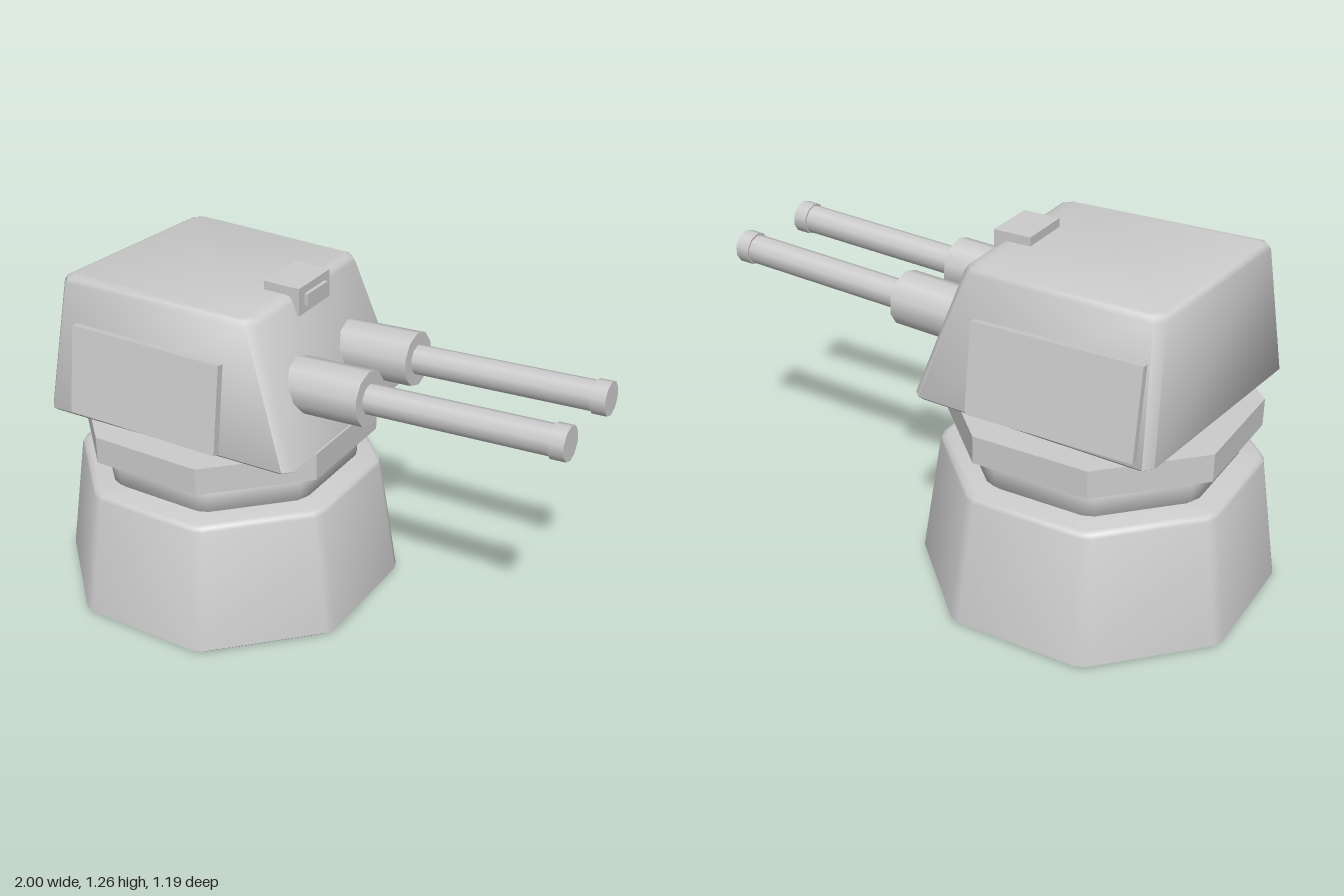
import * as THREE from 'three';
import { toCreasedNormals } from 'three/addons/utils/BufferGeometryUtils.js';

// Cuts each corner of a polygon of [x, z] points
function chamfer(points, size) {
  const out = [];
  points.forEach((p, i) => {
    const n = points.length;
    for (const q of [points[(i + n - 1) % n], points[(i + 1) % n]]) {
      const k = size / Math.hypot(q[0] - p[0], q[1] - p[1]);
      out.push([p[0] + (q[0] - p[0]) * k, p[1] + (q[1] - p[1]) * k]);
    }
  });
  return out;
}

// Octagon with flat sides on the axes, counter-clockwise seen from above
function octagon(apothem, cx) {
  const r = apothem / Math.cos(Math.PI / 8);
  return Array.from({ length: 8 }, (_, i) => {
    const a = (i + 0.5) * Math.PI / 4;
    return [cx + r * Math.cos(a), -r * Math.sin(a)];
  });
}

// Closed solid through stacked rings { y, pts }
function loft(rings, crease) {
  const pos = [], index = [], n = rings[0].pts.length;
  for (const { y, pts } of rings) for (const [x, z] of pts) pos.push(x, y, z);
  for (let r = 0; r < rings.length - 1; r++) {
    for (let i = 0; i < n; i++) {
      const a = r * n + i, b = r * n + (i + 1) % n;
      index.push(a, b, b + n, a, b + n, a + n);
    }
  }
  const top = (rings.length - 1) * n;
  for (let i = 1; i < n - 1; i++) {
    index.push(0, i + 1, i, top, top + i, top + i + 1);
  }
  const g = new THREE.BufferGeometry();
  g.setAttribute('position', new THREE.Float32BufferAttribute(pos, 3));
  g.setIndex(index);
  return toCreasedNormals(g, crease);
}

export function createModel() {
  const model = new THREE.Group();
  model.name = 'gunTurret';
  const grey = new THREE.MeshStandardMaterial({ color: 0xcccccc });
  grey.name = 'light grey';
  const add = (name, geometry, parent = model) => {
    const mesh = new THREE.Mesh(geometry, grey);
    mesh.name = name;
    parent.add(mesh);
    return mesh;
  };

  // Octagonal pedestal, neck and turning ring
  const cx = -0.403;
  const softOctagon = (layers) => loft(layers.map(([y, apothem]) =>
    ({ y, pts: chamfer(octagon(apothem, cx), 0.022) })), 1.0);
  add('pedestal', softOctagon([[0, 0.582], [0.012, 0.596], [0.47, 0.532], [0.483, 0.526], [0.49, 0.51]]));
  add('neck', softOctagon([[0.47, 0.435], [0.492, 0.435], [0.505, 0.451], [0.597, 0.451], [0.612, 0.435]]));
  add('turningRing', loft([0.612, 0.714].map((y) => ({ y, pts: octagon(0.51, cx) })), 0.2));

  // Tapered gun house with a skewed back wall
  const low = [[0.12, 0.405], [0.12, -0.405], [-0.795, -0.445], [-0.89, 0.44]];
  const high = [[-0.06, 0.345], [-0.06, -0.345], [-0.775, -0.37], [-0.838, 0.365]];
  const section = (t, scale) => ({
    y: 0.718 + 0.506 * t,
    pts: chamfer(low.map(([x, z], i) => [
      cx + (x + (high[i][0] - x) * t - cx) * scale,
      (z + (high[i][1] - z) * t) * scale,
    ]), 0.028),
  });
  add('gunHouse', loft([section(0, 0.965), section(0.025, 1), section(0.955, 1),
    section(0.988, 0.985), section(1, 0.95)], 1.0));

  // Sloped armour plates on both sides
  for (const s of [1, -1]) {
    const plate = add(s > 0 ? 'frontArmourPlate' : 'backArmourPlate',
      new THREE.BoxGeometry(0.61, 0.322, 0.028));
    plate.position.set(-0.443, 0.92, s * 0.436);
    plate.rotation.x = -s * 0.14;
  }

  // Sight box with its raised window
  add('sightBox', new THREE.BoxGeometry(0.14, 0.1, 0.2)).position.set(-0.098, 1.206, 0);
  add('sightWindow', new THREE.BoxGeometry(0.03, 0.042, 0.13)).position.set(-0.03, 1.206, 0);

  // Twin guns, raised a little: [name, start, end, radius]
  const pieces = [
    ['sleeve', -0.12, 0.29, 0.098],
    ['barrel', 0.2, 0.96, 0.053],
    ['muzzle', 0.945, 0.998, 0.06],
  ];
  for (const s of [1, -1]) {
    const gun = new THREE.Group();
    gun.name = s > 0 ? 'frontGun' : 'backGun';
    gun.position.set(0, 0.946, s * 0.17);
    gun.rotation.z = 0.055;
    model.add(gun);
    for (const [name, from, to, r] of pieces) {
      const g = new THREE.CylinderGeometry(r, r, to - from, 10);
      g.rotateY(-Math.PI / 2);
      g.rotateZ(-Math.PI / 2);
      g.translate((from + to) / 2, 0, 0);
      add(name, g, gun);
    }
  }
  return model;
}
